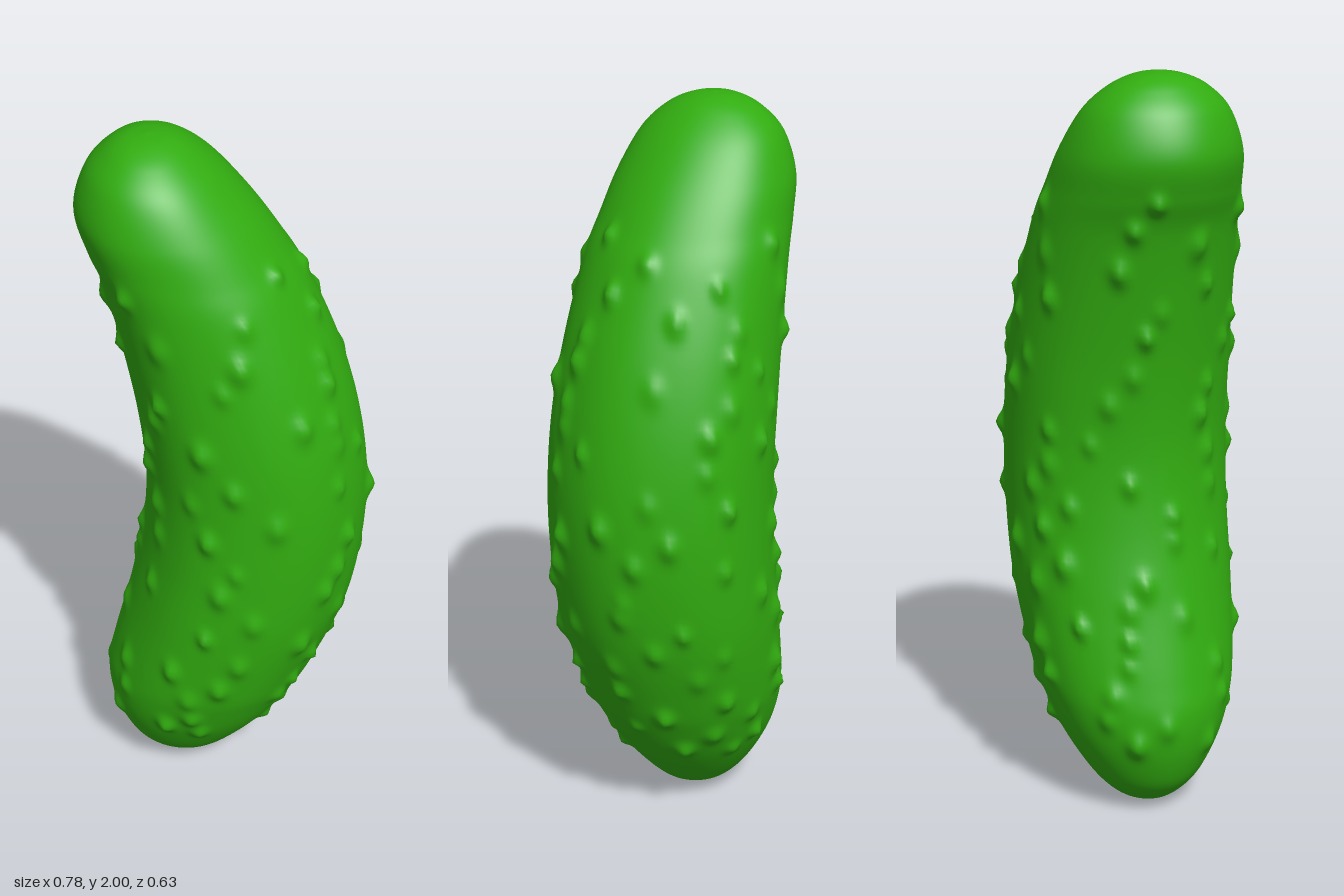
import * as THREE from 'three';

// Horizontal sections: height, left edge x, right edge x, half depth in z
const SECTIONS = [
  [2.0, -0.2, -0.2, 0], [1.99, -0.26, -0.14, 0.065], [1.96, -0.31, -0.085, 0.13],
  [1.9, -0.36, -0.015, 0.19], [1.8, -0.388, 0.07, 0.232], [1.7, -0.362, 0.14, 0.25],
  [1.6, -0.322, 0.2, 0.265], [1.4, -0.276, 0.285, 0.283], [1.2, -0.24, 0.34, 0.296],
  [1.0, -0.222, 0.366, 0.299], [0.8, -0.236, 0.36, 0.3], [0.6, -0.275, 0.325, 0.296],
  [0.4, -0.325, 0.25, 0.275], [0.3, -0.345, 0.2, 0.252], [0.2, -0.336, 0.135, 0.215],
  [0.1, -0.3, 0.05, 0.157], [0.04, -0.25, -0.015, 0.105], [0.01, -0.2, -0.075, 0.055],
  [0, -0.138, -0.138, 0],
];
const RINGS = 230;
const SIDES = 160;

function seeded(seed) {
  return () => (seed = (seed * 16807) % 2147483647) / 2147483647;
}

// Smooth skin lofted through the sections
function buildSkin() {
  const edges = new THREE.CatmullRomCurve3(
    SECTIONS.map(([y, l, r]) => new THREE.Vector3(l, y, r)), false, 'catmullrom', 0.5);
  const depth = new THREE.CatmullRomCurve3(
    SECTIONS.map(([y, , , d]) => new THREE.Vector3(0, y, d)), false, 'catmullrom', 0.5);
  const positions = [];
  const indices = [];
  for (let i = 0; i <= RINGS; i++) {
    const e = edges.getPoint(i / RINGS);
    const d = depth.getPoint(i / RINGS).z;
    const centre = (e.x + e.z) / 2;
    const half = (e.z - e.x) / 2;
    for (let j = 0; j < SIDES; j++) {
      const a = (j / SIDES) * Math.PI * 2;
      // faint lengthwise lobes, fading towards the ends
      const lobe = 1 + 0.008 * Math.cos(6 * a) * Math.sin((Math.PI * i) / RINGS);
      positions.push(centre + half * Math.cos(a) * lobe, e.y, d * Math.sin(a) * lobe);
    }
  }
  // every corner on an end ring shares that ring's first vertex
  const at = (i, j) => i * SIDES + (i === 0 || i === RINGS ? 0 : j % SIDES);
  for (let i = 0; i < RINGS; i++) {
    for (let j = 0; j < SIDES; j++) {
      const a = at(i, j), b = at(i + 1, j), c = at(i, j + 1), d = at(i + 1, j + 1);
      if (i > 0) indices.push(a, c, b);
      if (i < RINGS - 1) indices.push(c, d, b);
    }
  }
  const geometry = new THREE.BufferGeometry();
  geometry.setAttribute('position', new THREE.Float32BufferAttribute(positions, 3));
  geometry.setIndex(indices);
  geometry.computeVertexNormals();
  return geometry;
}

// Small rounded warts raised along the normals
function addWarts(geometry, count) {
  const rand = seeded(4217);
  const pos = geometry.attributes.position;
  const normal = geometry.attributes.normal;
  const warts = [];
  for (let k = 0; k < count; k++) {
    const y = 0.2 + 1.5 * Math.pow((k + rand()) / count, 1.15);
    const angle = k * 2.39996 + rand() * 0.7;
    let ring = 1;
    while (ring < RINGS - 1 && pos.getY(ring * SIDES) > y) ring++;
    const side = Math.floor((angle / (Math.PI * 2)) * SIDES) % SIDES;
    warts.push({
      p: new THREE.Vector3().fromBufferAttribute(pos, ring * SIDES + side),
      height: 0.009 + 0.014 * rand(),
      size: 0.017 + 0.009 * rand(),
    });
  }
  const v = new THREE.Vector3();
  const n = new THREE.Vector3();
  for (let i = 0; i < pos.count; i++) {
    v.fromBufferAttribute(pos, i);
    n.fromBufferAttribute(normal, i);
    let lift = 0;
    for (const { p, height, size } of warts) {
      const dy = (v.y - p.y) / 1.4;
      const d2 = ((v.x - p.x) ** 2 + dy * dy + (v.z - p.z) ** 2) / (size * size);
      if (d2 < 9) lift += height * Math.exp(-d2);
    }
    v.addScaledVector(n, lift);
    pos.setXYZ(i, v.x, v.y, v.z);
  }
  geometry.computeVertexNormals();
}

export function createModel() {
  const group = new THREE.Group();
  group.name = 'cucumber';
  const skin = buildSkin();
  addWarts(skin, 120);
  const body = new THREE.Mesh(skin, new THREE.MeshStandardMaterial({ color: 0x32ad10 }));
  body.name = 'cucumberBody';
  group.add(body);
  return group;
}
